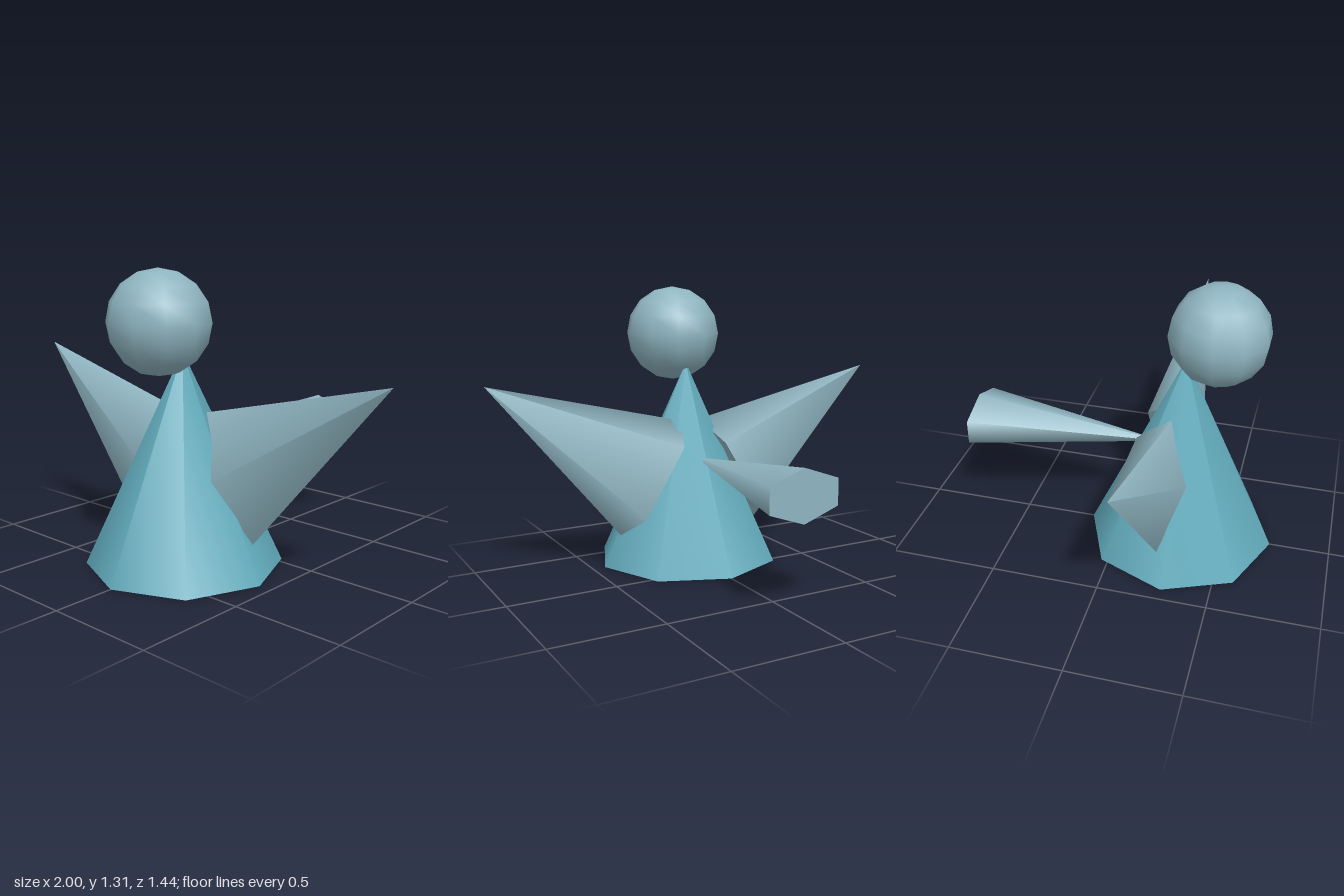
import * as THREE from 'three';

const teal = new THREE.MeshStandardMaterial({ color: 0x62abbc });
const paleBlue = new THREE.MeshStandardMaterial({ color: 0x8fb5c1 });

// Cone with its own width and depth radii
function cone(name, sides, rx, height, rz, material) {
  const geometry = new THREE.ConeGeometry(1, 1, sides);
  geometry.scale(rx, height, rz);
  const mesh = new THREE.Mesh(geometry, material);
  mesh.name = name;
  return mesh;
}

export function createModel() {
  const model = new THREE.Group();
  model.name = 'bird';

  // Eight-sided body standing on the ground
  const body = cone('body', 8, 0.44, 0.953, 0.44, teal);
  body.position.set(0, 0.4765, 0.28);
  model.add(body);

  // Round head leaning forward over the body tip
  const head = new THREE.Mesh(new THREE.SphereGeometry(0.226, 10, 8), paleBlue);
  head.name = 'head';
  head.position.set(0, 1.088, 0.42);
  model.add(head);

  // Flattened five-sided wings, base in the body and tip up and out
  for (const side of [1, -1]) {
    const base = new THREE.Vector2(0.21, 0.418);
    const tip = new THREE.Vector2(1, 0.902);
    const wing = cone(side > 0 ? 'leftWing' : 'rightWing', 5, 0.323, base.distanceTo(tip), 0.142, paleBlue);
    wing.position.set(side * (base.x + tip.x) / 2, (base.y + tip.y) / 2, 0.2);
    wing.rotation.z = -side * Math.atan2(tip.x - base.x, tip.y - base.y);
    model.add(wing);
  }

  // Flattened six-sided tail, narrow end in the body
  const tail = cone('tail', 6, 0.19, 0.9, 0.115, paleBlue);
  tail.position.set(0, 0.506, -0.27);
  tail.rotation.x = Math.PI / 2;
  model.add(tail);

  return model;
}
